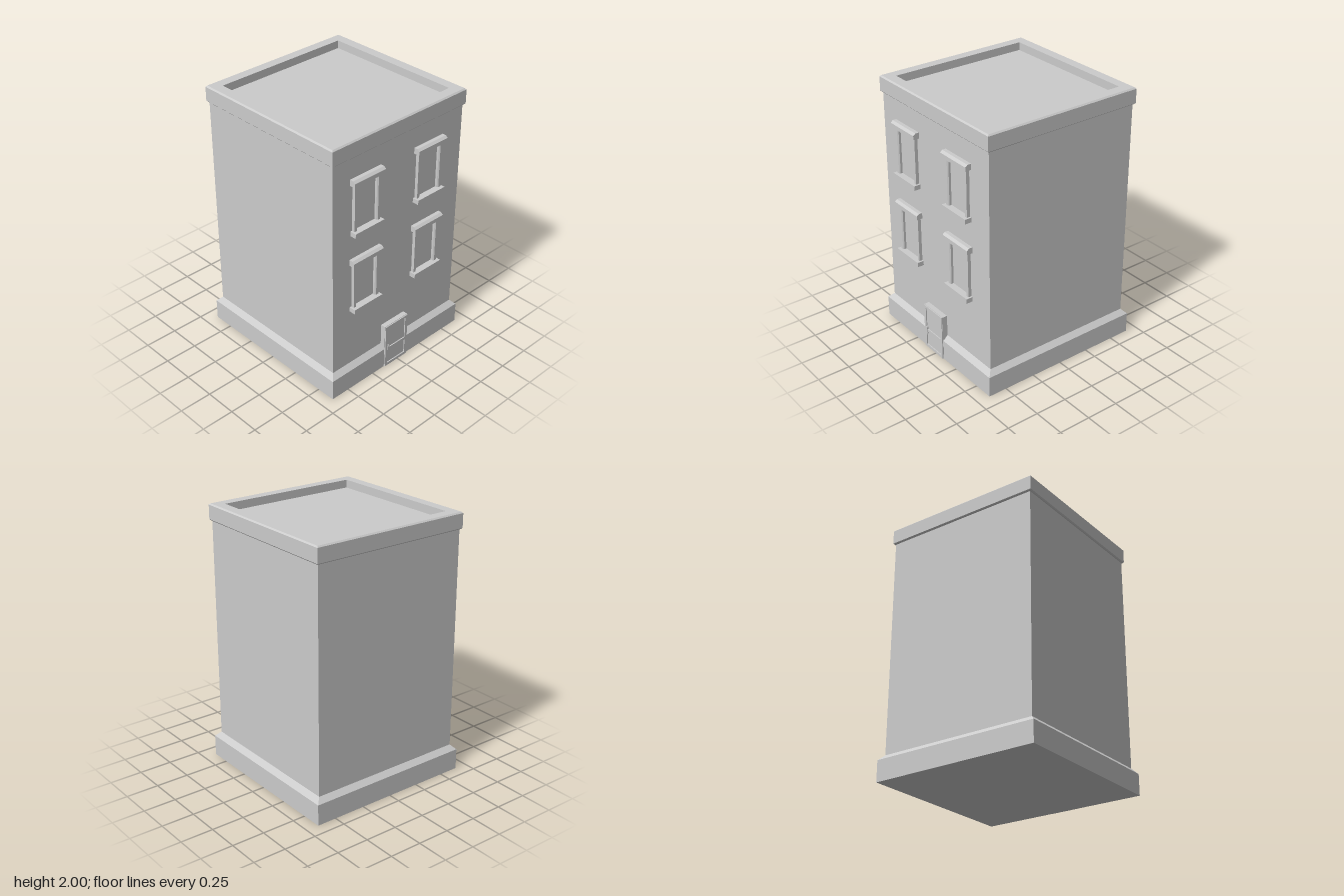
import * as THREE from 'three';

const material = new THREE.MeshStandardMaterial({ color: 0xcccccc, flatShading: true });

function add(parent, name, geometry, x = 0, y = 0, z = 0) {
  const mesh = new THREE.Mesh(geometry, material);
  mesh.name = name;
  mesh.position.set(x, y, z);
  parent.add(mesh);
  return mesh;
}

// Square tower section from [half width, height] pairs, listed bottom to top
function squareLathe(profile) {
  const points = profile.map(([half, y]) => new THREE.Vector2(half * Math.SQRT2, y));
  const geometry = new THREE.LatheGeometry(points, 4, Math.PI / 4).toNonIndexed();
  geometry.computeVertexNormals();
  return geometry;
}

function polygon(points, Type = THREE.Shape) {
  return new Type(points.map(([x, y]) => new THREE.Vector2(x, y)));
}

// Box given by its limits
function block(parent, name, x0, x1, y0, y1, z0, z1) {
  const geometry = new THREE.BoxGeometry(x1 - x0, y1 - y0, z1 - z0);
  return add(parent, name, geometry, (x0 + x1) / 2, (y0 + y1) / 2, (z0 + z1) / 2);
}

// Window surround; x is its centre, y the underside of its sill
function createWindow(x, y) {
  const group = new THREE.Group();
  group.name = 'window';
  group.position.set(x, y, 0);

  block(group, 'windowSill', -0.135, 0.135, 0, 0.035, 0.6, 0.66);

  // Lintel with a sloped upper front edge, extruded sideways
  const lintel = new THREE.ExtrudeGeometry(
    polygon([[0.6, 0.39], [0.655, 0.39], [0.655, 0.42], [0.637, 0.435], [0.6, 0.435]]),
    { depth: 0.284, bevelEnabled: false });
  lintel.rotateY(-Math.PI / 2);
  add(group, 'windowLintel', lintel, 0.142);

  // Jambs with a narrow chamfer facing the pane
  for (const side of [-1, 1]) {
    const outline = [[0.12, -0.6], [0.12, -0.634], [0.098, -0.634], [0.09, -0.626], [0.09, -0.6]]
      .map(([px, pz]) => [px * side, pz]);
    const jamb = new THREE.ExtrudeGeometry(polygon(outline), { depth: 0.357, bevelEnabled: false });
    jamb.rotateX(-Math.PI / 2);
    add(group, 'windowJamb', jamb, 0, 0.034);
  }
  return group;
}

function createDoor() {
  const group = new THREE.Group();
  group.name = 'door';
  block(group, 'doorSlab', -0.135, 0.095, 0, 0.365, 0.57, 0.648);

  // Face with two sunken panels, each notched beside the latch
  const face = polygon([[-0.132, 0.003], [0.092, 0.003], [0.092, 0.362], [-0.132, 0.362]]);
  face.holes.push(
    polygon([[-0.11, 0.185], [-0.11, 0.345], [0.07, 0.345], [0.07, 0.165], [-0.095, 0.165], [-0.095, 0.185]], THREE.Path),
    polygon([[-0.11, 0.025], [-0.11, 0.125], [-0.095, 0.125], [-0.095, 0.142], [0.07, 0.142], [0.07, 0.025]], THREE.Path));
  add(group, 'doorFace', new THREE.ExtrudeGeometry(face, { depth: 0.009, bevelEnabled: false }), 0, 0, 0.647);

  block(group, 'latchPlate', -0.112, -0.097, 0.13, 0.18, 0.65, 0.66);
  return group;
}

export function createModel() {
  const building = new THREE.Group();
  building.name = 'building';

  // Plinth with sloped top
  add(building, 'plinth', squareLathe([[0, 0], [0.652, 0], [0.652, 0.16], [0.615, 0.198], [0, 0.198]]), 0, 0, -0.006);
  add(building, 'walls', squareLathe([[0.615, 0.15], [0.615, 1.9]]), 0, 0, -0.006);

  // Cornice band, parapet and sunken roof
  add(building, 'parapet', squareLathe([
    [0.6, 1.876], [0.622, 1.876], [0.63, 1.884], [0.63, 1.99], [0.62, 2], [0.545, 2], [0.545, 1.94],
  ]), 0, 0, -0.006);
  add(building, 'roof', squareLathe([[0.55, 1.94], [0, 1.94]]), 0, 0, -0.006);

  for (const x of [-0.32, 0.282]) {
    for (const y of [0.66, 1.285]) building.add(createWindow(x, y));
  }
  building.add(createDoor());
  return building;
}
